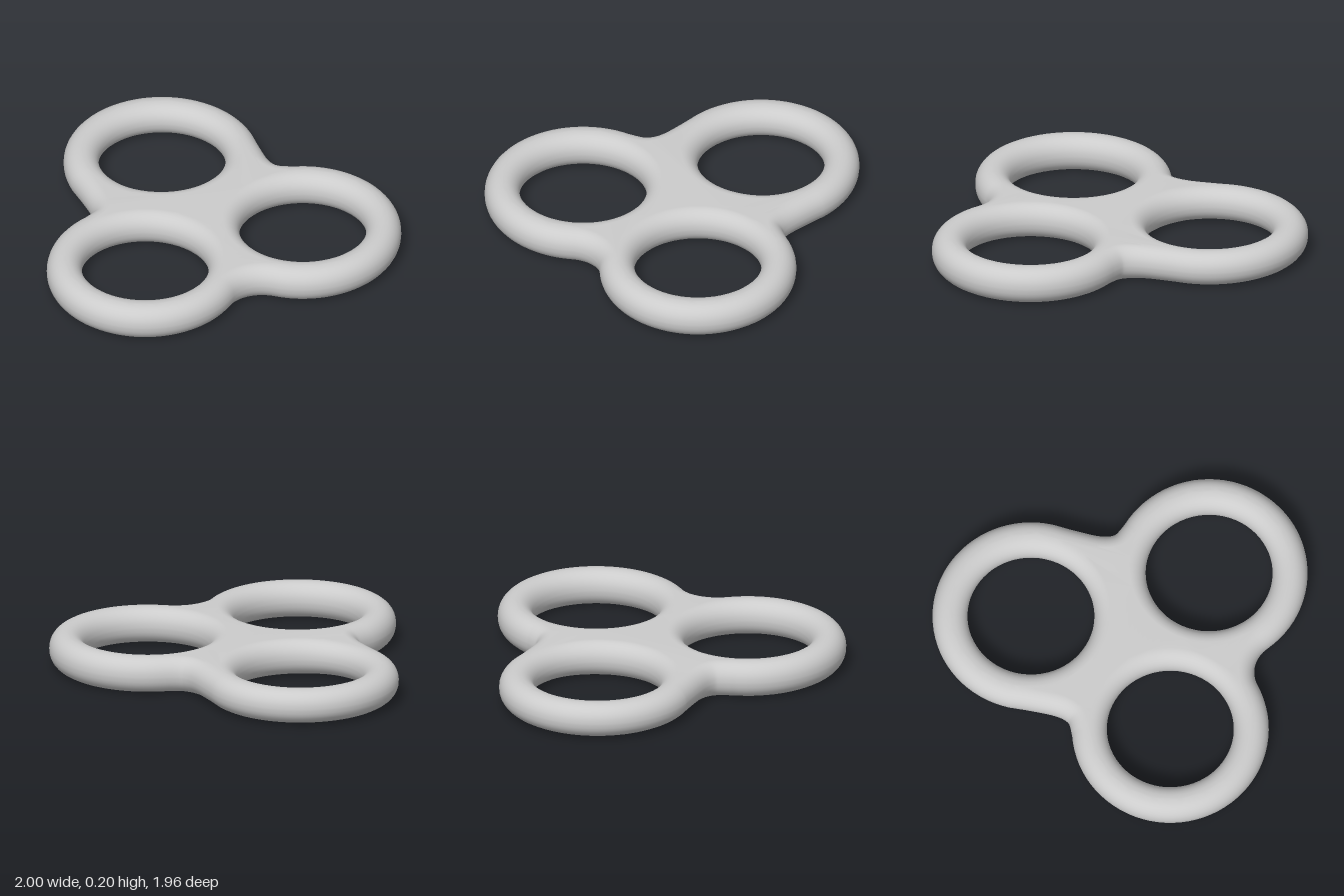
import * as THREE from 'three';
import { mergeVertices } from 'three/addons/utils/BufferGeometryUtils.js';

const ROUND = 0.09;            // width of the rounded rim
const RING = 0.535 - ROUND;    // flat outer edge of each ring
const HOLE = 0.345 + ROUND;    // flat inner edge of each ring
const SIDE = 0.463, DEPTH = 0.443;

const arc = (cx, cy, r, from, to, n) => Array.from({ length: n + 1 }, (_, i) => {
  const a = from + (to - from) * i / n;
  return new THREE.Vector2(cx + r * Math.cos(a), cy + r * Math.sin(a));
});

// Right half of the outline, from the front notch round to the back tip
function halfOutline() {
  const f = 0.18 + ROUND, cy = -0.988;
  const a = Math.atan2(-DEPTH - cy, SIDE);
  const notch = arc(0, cy, f, Math.PI / 2, a, 8);
  const ring = arc(SIDE, -DEPTH, RING, a - Math.PI, 1.274, 44);
  const back = arc(0, DEPTH, RING, 0, Math.PI / 2, 20);
  const waist = new THREE.SplineCurve([
    ring[ring.length - 1],
    new THREE.Vector2(0.503, 0.028), new THREE.Vector2(0.457, 0.09),
    new THREE.Vector2(0.437, 0.18), new THREE.Vector2(0.438, 0.32),
    back[0],
  ]).getPoints(20).slice(1, -1);
  return [...notch, ...ring.slice(1), ...waist, ...back];
}

export function createModel() {
  const half = halfOutline();
  const mirrored = half.slice(1, -1).reverse().map(p => new THREE.Vector2(-p.x, p.y));
  const shape = new THREE.Shape([...half, ...mirrored]);

  // Three finger holes
  for (const [x, y] of [[SIDE, -DEPTH], [-SIDE, -DEPTH], [0, DEPTH]]) {
    shape.holes.push(new THREE.Path(arc(x, y, HOLE, 0, -Math.PI * 2, 64).slice(0, -1)));
  }

  // Thin slab whose outer and inner rims are fully rounded
  let geometry = new THREE.ExtrudeGeometry(shape, {
    depth: 0.01, steps: 1, bevelEnabled: true,
    bevelThickness: 0.095, bevelSize: ROUND, bevelSegments: 8,
  });
  geometry.rotateX(-Math.PI / 2);

  // The back ring is slightly thinner than the front pair
  const pos = geometry.attributes.position;
  for (let i = 0; i < pos.count; i++) {
    const t = THREE.MathUtils.smoothstep(-pos.getZ(i), 0.05, 0.25);
    pos.setY(i, 0.1 + (pos.getY(i) - 0.005) * (1 - 0.06 * t));
  }

  // Shared vertices give smooth shading all round
  geometry.deleteAttribute('normal');
  geometry.deleteAttribute('uv');
  geometry = mergeVertices(geometry, 1e-4);
  geometry.computeVertexNormals();

  const body = new THREE.Mesh(geometry, new THREE.MeshStandardMaterial({ color: 0xcccccc }));
  body.name = 'threeRingBody';
  const group = new THREE.Group();
  group.name = 'threeRingHandle';
  group.add(body);
  return group;
}
